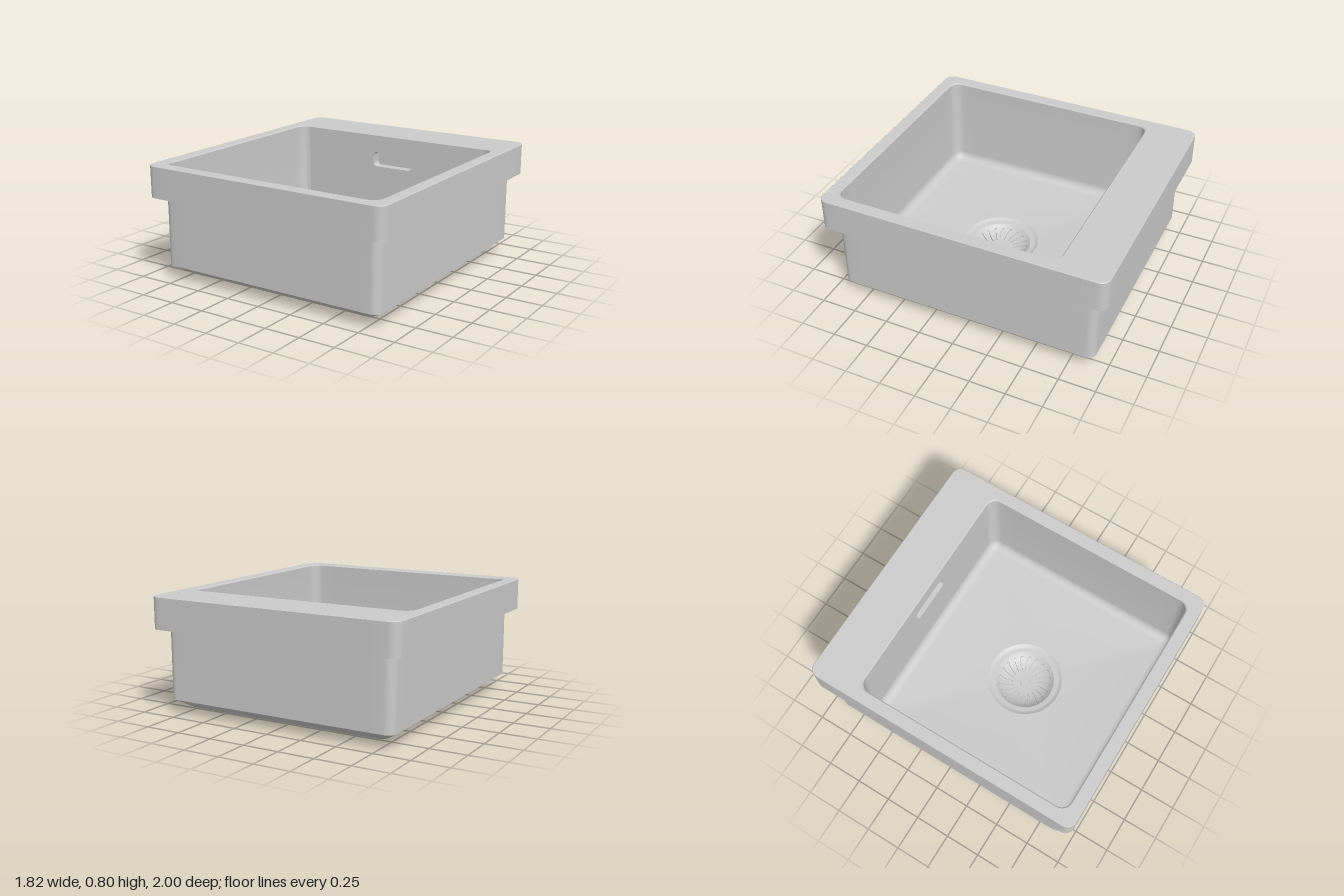
import * as THREE from 'three';
import { toCreasedNormals } from 'three/addons/utils/BufferGeometryUtils.js';

const V = (x, y, z) => new THREE.Vector3(x, y, z);
const CORNER = 6, SIDE = 16, STRIDE = CORNER + SIDE;
const DRAIN_Z = 0.125;

// Horizontal rounded rectangle at height y, with subdivided straight sides
function rectRing(x, z0, z1, r, y) {
  const corners = [[x - r, z1 - r], [r - x, z1 - r], [r - x, z0 + r], [x - r, z0 + r]];
  const arcs = corners.map(([cx, cz], k) => Array.from({ length: CORNER + 1 }, (_, i) => {
    const a = (k + i / CORNER) * Math.PI / 2;
    return V(cx + r * Math.cos(a), y, cz + r * Math.sin(a));
  }));
  const pts = [];
  arcs.forEach((arc, k) => {
    pts.push(...arc);
    const next = arcs[(k + 1) % 4][0];
    for (let i = 1; i < SIDE; i++) pts.push(arc[CORNER].clone().lerp(next, i / SIDE));
  });
  return pts;
}

// Joins successive closed rings; skip(level, index) leaves a quad open
function loft(rings, crease = 0.5, skip = () => false) {
  const pos = [];
  const tri = (a, b, c) => {
    if (a.distanceTo(b) < 1e-6 || b.distanceTo(c) < 1e-6 || a.distanceTo(c) < 1e-6) return;
    for (const p of [a, b, c]) pos.push(p.x, p.y, p.z);
  };
  for (let k = 0; k + 1 < rings.length; k++) {
    const P = rings[k], Q = rings[k + 1], n = P.length;
    for (let i = 0; i < n; i++) {
      if (skip(k, i)) continue;
      const j = (i + 1) % n;
      tri(P[i], Q[i], P[j]);
      tri(P[j], Q[i], Q[j]);
    }
  }
  const g = new THREE.BufferGeometry();
  g.setAttribute('position', new THREE.Float32BufferAttribute(pos, 3));
  return toCreasedNormals(g, crease);
}

function roundedPath(path, w, h, r, cy) {
  const a = w / 2, b = h / 2;
  path.absarc(a - r, cy + b - r, r, 0, Math.PI / 2);
  path.absarc(r - a, cy + b - r, r, Math.PI / 2, Math.PI);
  path.absarc(r - a, cy - b + r, r, Math.PI, Math.PI * 1.5);
  path.absarc(a - r, cy - b + r, r, Math.PI * 1.5, Math.PI * 2);
  path.closePath();
  return path;
}

export function createModel() {
  const sink = new THREE.Group();
  sink.name = 'sink';
  const mat = new THREE.MeshStandardMaterial({ color: 0xcccccc, side: THREE.DoubleSide });
  const add = (name, geometry) => {
    const m = new THREE.Mesh(geometry, mat);
    m.name = name;
    sink.add(m);
    return m;
  };

  // Outer body: shallow pyramid underside, chamfer, straight walls
  const bottom = rectRing(0.74, -0.82, 0.82, 0.05, 0.03);
  add('outerBody', loft([
    bottom.map(() => V(0, 0, DRAIN_Z)),
    bottom,
    rectRing(0.84, -0.92, 0.92, 0.06, 0.095),
    rectRing(0.84, -0.92, 0.92, 0.06, 0.58),
  ]));

  // Thick rim slab with a small edge round, open over the basin
  const bx = 0.82, bz0 = -0.655, bz1 = 0.91, br = 0.07;
  const rimIn = 0.008;
  add('rim', loft([
    rectRing(0.84, -0.92, 0.92, 0.06, 0.58),
    rectRing(0.91, -1, 1, 0.065, 0.58),
    rectRing(0.91, -1, 1, 0.065, 0.795),
    rectRing(0.905, -0.995, 0.995, 0.06, 0.8),
    rectRing(bx + rimIn, bz0 - rimIn, bz1 + rimIn, br + rimIn, 0.8),
    rectRing(bx, bz0, bz1, br, 0.792),
  ]));

  // Basin: walls, floor fillet, floor falling gently to the drain circle
  const fillet = 0.065, floorY = 0.12, wallTop = 0.792, wallBottom = floorY + fillet;
  const basin = [rectRing(bx, bz0, bz1, br, wallTop)];
  for (let i = 0; i <= 6; i++) {
    const a = i / 6 * Math.PI / 2, d = fillet * (1 - Math.cos(a));
    basin.push(rectRing(bx - d, bz0 + d, bz1 - d, br - d, wallBottom - fillet * Math.sin(a)));
  }
  basin.push(basin[basin.length - 1].map((p) => {
    const a = Math.atan2(p.z - DRAIN_Z, p.x);
    return V(0.27 * Math.cos(a), 0.1, DRAIN_Z + 0.27 * Math.sin(a));
  }));
  const back = 2 * STRIDE + CORNER;
  add('basin', loft(basin, 0.5, (k, i) => k === 0 && i >= back && i < back + SIDE));

  // Back wall panel pierced by the overflow opening
  const wall = new THREE.Shape();
  const wx = bx - br;
  wall.moveTo(-wx, wallBottom).lineTo(wx, wallBottom).lineTo(wx, wallTop).lineTo(-wx, wallTop);
  wall.closePath();
  const slot = roundedPath(new THREE.Path(), 0.33, 0.11, 0.03, 0.61);
  wall.holes.push(slot);
  add('backWall', new THREE.ShapeGeometry(wall, 8)).position.z = bz0;

  // Overflow recess behind the opening
  const outline = slot.getPoints(8);
  add('overflowRecess', loft([
    outline.map((p) => V(p.x, p.y, bz0)),
    outline.map((p) => V(p.x, p.y, bz0 - 0.07)),
    outline.map(() => V(0, 0.61, bz0 - 0.07)),
  ]));

  // Drain collar: rounded lip and flat seat
  const collar = [[0.21, 0.08], [0.215, 0.084], [0.238, 0.084], [0.25, 0.087], [0.261, 0.093], [0.272, 0.1]]
    .map(([r, y]) => new THREE.Vector2(r, y));
  add('drainCollar', new THREE.LatheGeometry(collar, 64)).position.z = DRAIN_Z;

  // Strainer bowl: curved radial grooves follow the twisted grid
  const slots = 20, stops = [0, 0.34, 0.37, 0.63, 0.66];
  const bowlY = (r) => 0.028 + 0.052 * Math.pow(r / 0.21, 4);
  const radii = [0.21, 0.205, 0.198, 0.19, 0.186, 0.17, 0.15, 0.13, 0.11, 0.094, 0.09, 0.06, 0.04];
  const strainer = radii.map((r) => {
    const ring = [];
    for (let s = 0; s < slots; s++) {
      stops.forEach((t, i) => {
        const a = (s + t) / slots * Math.PI * 2 + 14 * (r - 0.09) * (r - 0.09);
        const groove = (i === 2 || i === 3) && r < 0.188 && r > 0.092 ? 0.012 : 0;
        ring.push(V(r * Math.cos(a), bowlY(r) - groove, DRAIN_Z + r * Math.sin(a)));
      });
    }
    return ring;
  });
  strainer.push(strainer[0].map(() => V(0, 0.028, DRAIN_Z)));
  add('strainerBowl', loft(strainer, 0.5));

  // Centre button of the strainer
  const button = add('strainerButton', new THREE.CylinderGeometry(0.035, 0.037, 0.01, 32));
  button.position.set(0, 0.032, DRAIN_Z);

  return sink;
}
